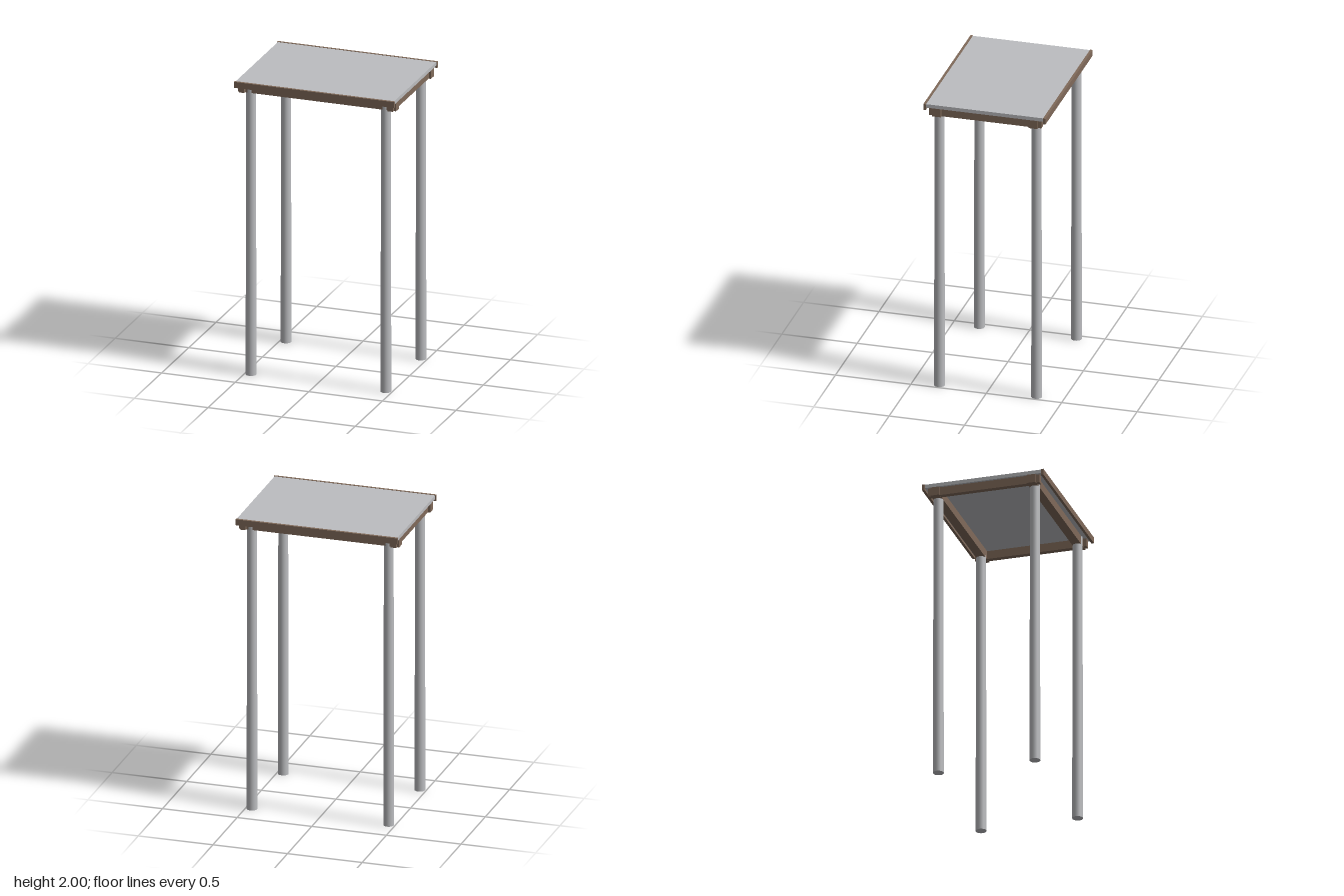
import * as THREE from 'three';

export function createModel() {
  const model = new THREE.Group();
  model.name = 'table';
  const metal = new THREE.MeshStandardMaterial({ color: 0xbcbdc0 });
  metal.name = 'pale grey';
  const wood = new THREE.MeshStandardMaterial({ color: 0x806a5a });
  wood.name = 'brown wood';

  // Box given by its lower and upper limits on each axis
  function box(name, material, [x0, x1], [y0, y1], [z0, z1]) {
    const mesh = new THREE.Mesh(new THREE.BoxGeometry(x1 - x0, y1 - y0, z1 - z0), material);
    mesh.position.set((x0 + x1) / 2, (y0 + y1) / 2, (z0 + z1) / 2);
    mesh.name = name;
    model.add(mesh);
  }
  // Range mirrored to the chosen side
  const side = (s, a, b) => (s > 0 ? [a, b] : [-b, -a]);

  // Top panel
  box('topPanel', metal, [-0.538, 0.538], [1.975, 1.999], [-0.389, 0.389]);

  for (const s of [-1, 1]) {
    // Edge boards along the long sides
    box('edgeBoard', wood, [-0.543, 0.543], [1.96, 2], side(s, 0.388, 0.405));
    // Long rails through the legs
    box('longRail', wood, [-0.537, 0.537], [1.918, 1.975], side(s, 0.291, 0.35));
    // Cross rails outside the legs
    box('crossRail', wood, side(s, 0.487, 0.523), [1.92, 1.975], [-0.372, 0.372]);
  }

  // Slightly tapered round legs
  const legShape = new THREE.CylinderGeometry(0.031, 0.035, 1.975, 24);
  for (const x of [-0.458, 0.458]) {
    for (const z of [-0.322, 0.322]) {
      const leg = new THREE.Mesh(legShape, metal);
      leg.name = 'leg';
      leg.position.set(x, 1.975 / 2, z);
      model.add(leg);
    }
  }
  return model;
}
